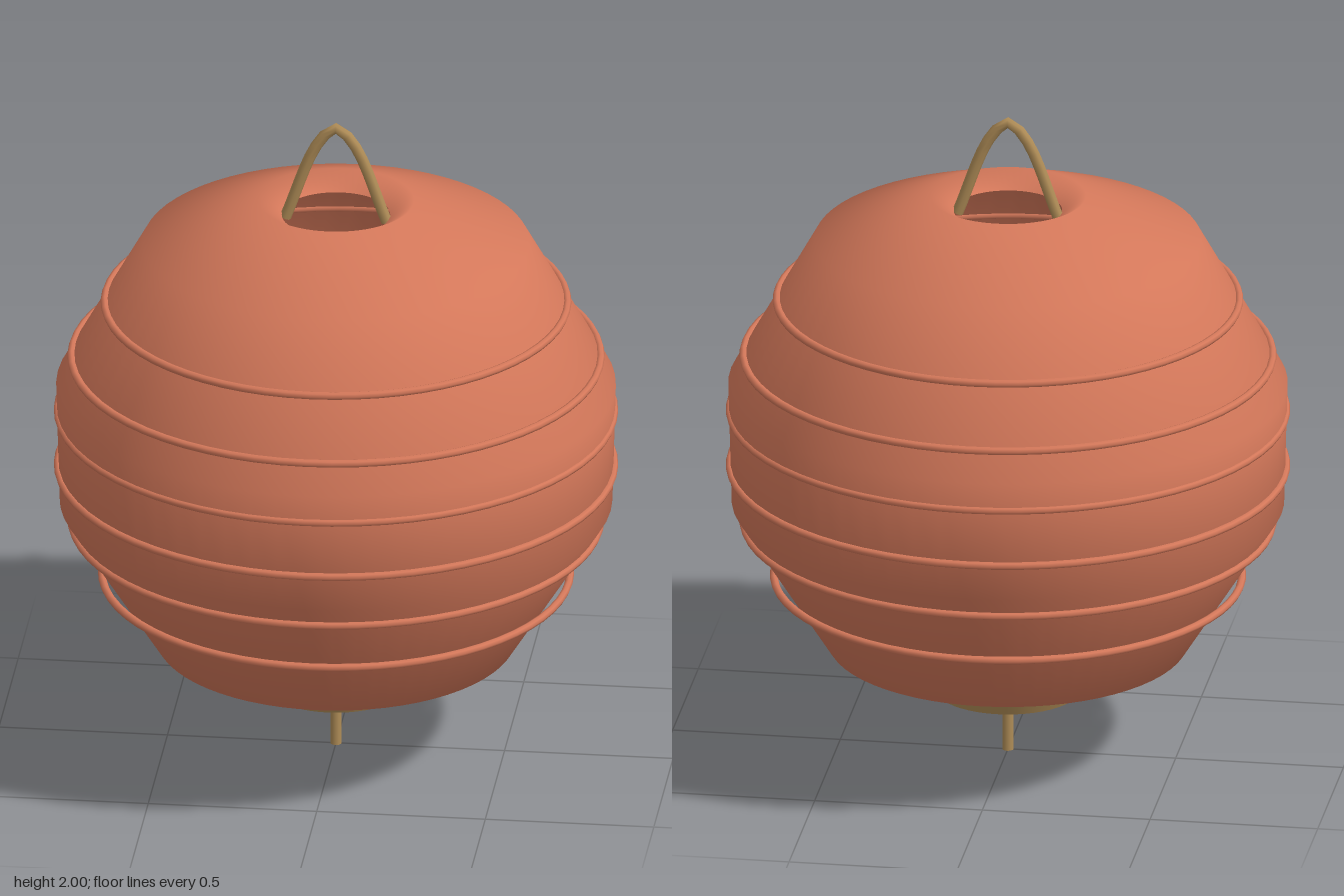
import * as THREE from 'three';

export function createModel() {
  const group = new THREE.Group();
  group.name = 'paperLantern';

  const paper = new THREE.MeshStandardMaterial({ color: 0xd4785a, side: THREE.DoubleSide });
  paper.name = 'terracotta paper';
  const wood = new THREE.MeshStandardMaterial({ color: 0xb08d57 });
  wood.name = 'tan wood';

  const add = (name, geometry, material, y = 0) => {
    const mesh = new THREE.Mesh(geometry, material);
    mesh.name = name;
    mesh.position.y = y;
    group.add(mesh);
    return mesh;
  };

  // Hollow shade, open at the top, with a lip that dips inward
  const profile = [
    [0.2, 0.262], [0.25, 0.262], [0.53, 0.34], [0.815, 0.79],
    [0.825, 1.16], [0.57, 1.615], [0.23, 1.752], [0.16, 1.705],
  ].map(([r, y]) => new THREE.Vector2(r, y));
  add('shade', new THREE.LatheGeometry(profile, 64), paper);

  // Ribs around the shade: [height, radius]
  const ribs = [
    [0.55, 0.69], [0.725, 0.78], [0.9, 0.82],
    [1.075, 0.82], [1.248, 0.78], [1.423, 0.682],
  ];
  ribs.forEach(([y, r], i) => {
    const rib = new THREE.TorusGeometry(r, 0.012, 8, 64).rotateX(Math.PI / 2);
    add(`rib${i + 1}`, rib, paper, y);
  });

  // Tapered base cap
  add('baseCap', new THREE.CylinderGeometry(0.25, 0.218, 0.068, 48), wood, 0.228);

  // Hanging peg below the cap
  add('tasselPeg', new THREE.CylinderGeometry(0.017, 0.017, 0.14, 10), wood, 0.07);

  // Arched carrying handle
  const arch = new THREE.CatmullRomCurve3([
    [-0.15, 1.69], [-0.055, 1.93], [0, 1.983], [0.055, 1.93], [0.15, 1.69],
  ].map(([x, y]) => new THREE.Vector3(x, y, 0)));
  add('handle', new THREE.TubeGeometry(arch, 16, 0.017, 8), wood);

  return group;
}
